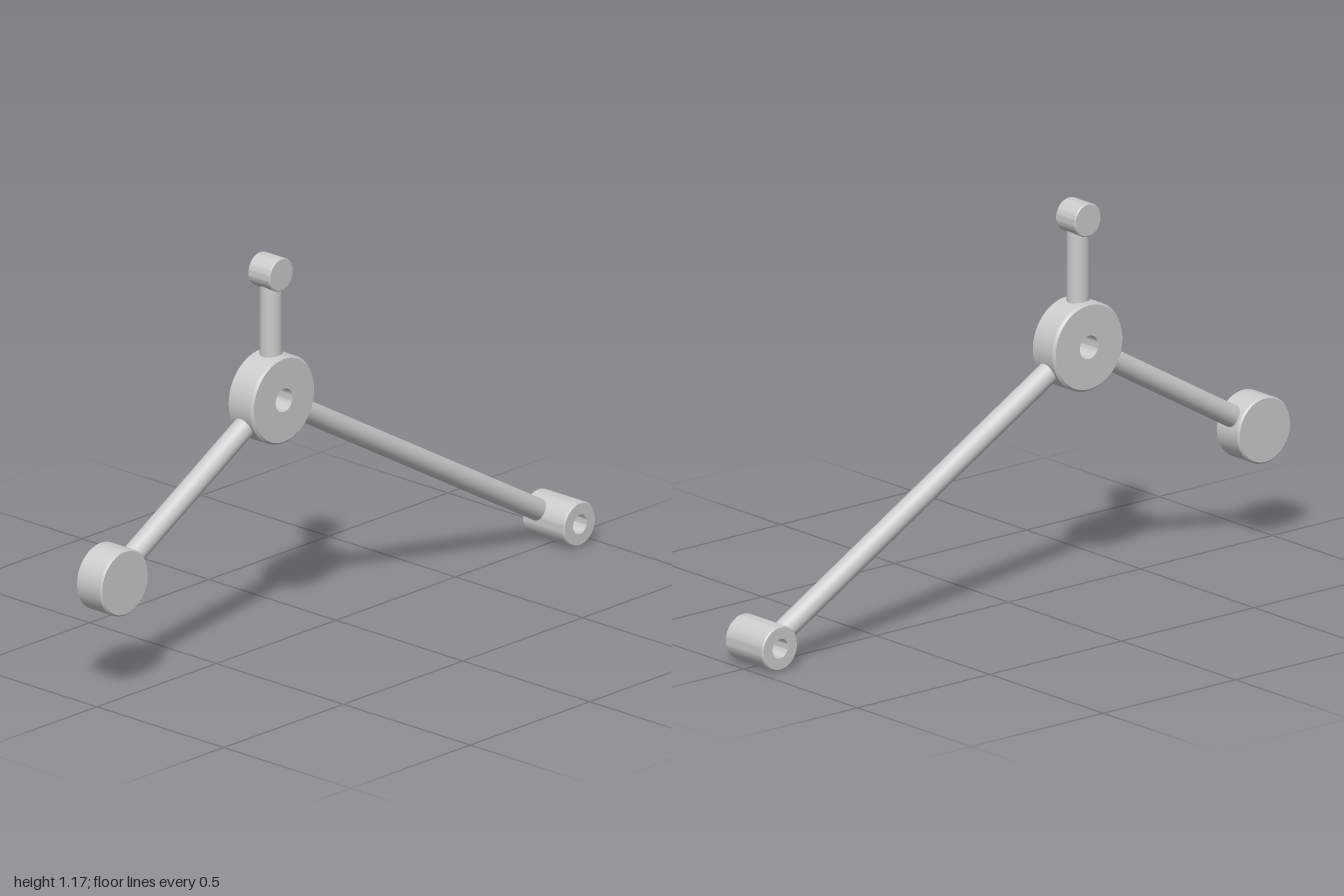
import * as THREE from 'three';
import { toCreasedNormals } from 'three/addons/utils/BufferGeometryUtils.js';

const material = new THREE.MeshStandardMaterial({ color: 0xcccccc });
const ROD_X = -0.034;
const ROD_R = 0.033;

// Disc or sleeve lying along x, with chamfered rims and an optional through hole
function disc(name, y, z, r, x0, x1, chamfer, hole = 0) {
  const c = chamfer;
  const pts = [[hole, x0], [r - c, x0], [r, x0 + c], [r, x1 - c], [r - c, x1], [hole, x1]];
  if (hole > 0) pts.push([hole, x0]);
  const lathe = new THREE.LatheGeometry(pts.map(p => new THREE.Vector2(...p)), 48);
  const mesh = new THREE.Mesh(toCreasedNormals(lathe, 0.5), material);
  mesh.geometry.rotateZ(-Math.PI / 2);
  mesh.position.set(0, y, z);
  mesh.name = name;
  return mesh;
}

// Round rod between two centres, trimmed by a distance at each end
function rod(name, from, to, trimFrom, trimTo) {
  const a = new THREE.Vector3(ROD_X, ...from);
  const b = new THREE.Vector3(ROD_X, ...to);
  const dir = b.clone().sub(a).normalize();
  a.addScaledVector(dir, trimFrom);
  b.addScaledVector(dir, -trimTo);
  const mesh = new THREE.Mesh(new THREE.CylinderGeometry(ROD_R, ROD_R, a.distanceTo(b), 32), material);
  mesh.position.copy(a).add(b).multiplyScalar(0.5);
  mesh.quaternion.setFromUnitVectors(new THREE.Vector3(0, 1, 0), dir);
  mesh.name = name;
  return mesh;
}

export function createModel() {
  const group = new THREE.Group();
  group.name = 'leverArm';

  // Centres as [y, z]
  const hub = [0.737, 0.235];
  const weight = [0.355, 0.9];
  const sleeve = [0.067, -0.933];
  const knob = [1.117, 0.235];

  group.add(
    disc('hub', ...hub, 0.133, -0.083, 0.017, 0.007, 0.035),
    disc('frontWeight', ...weight, 0.1, -0.083, 0.017, 0.005),
    disc('rearSleeve', ...sleeve, 0.067, -0.083, 0.083, 0.004, 0.029),
    disc('topKnob', ...knob, 0.05, -0.079, 0.007, 0.003),
    rod('frontRod', hub, weight, 0.09, 0.05),
    rod('rearRod', hub, sleeve, 0.09, 0.042),
    rod('topRod', hub, knob, 0.09, 0.02),
  );
  return group;
}
